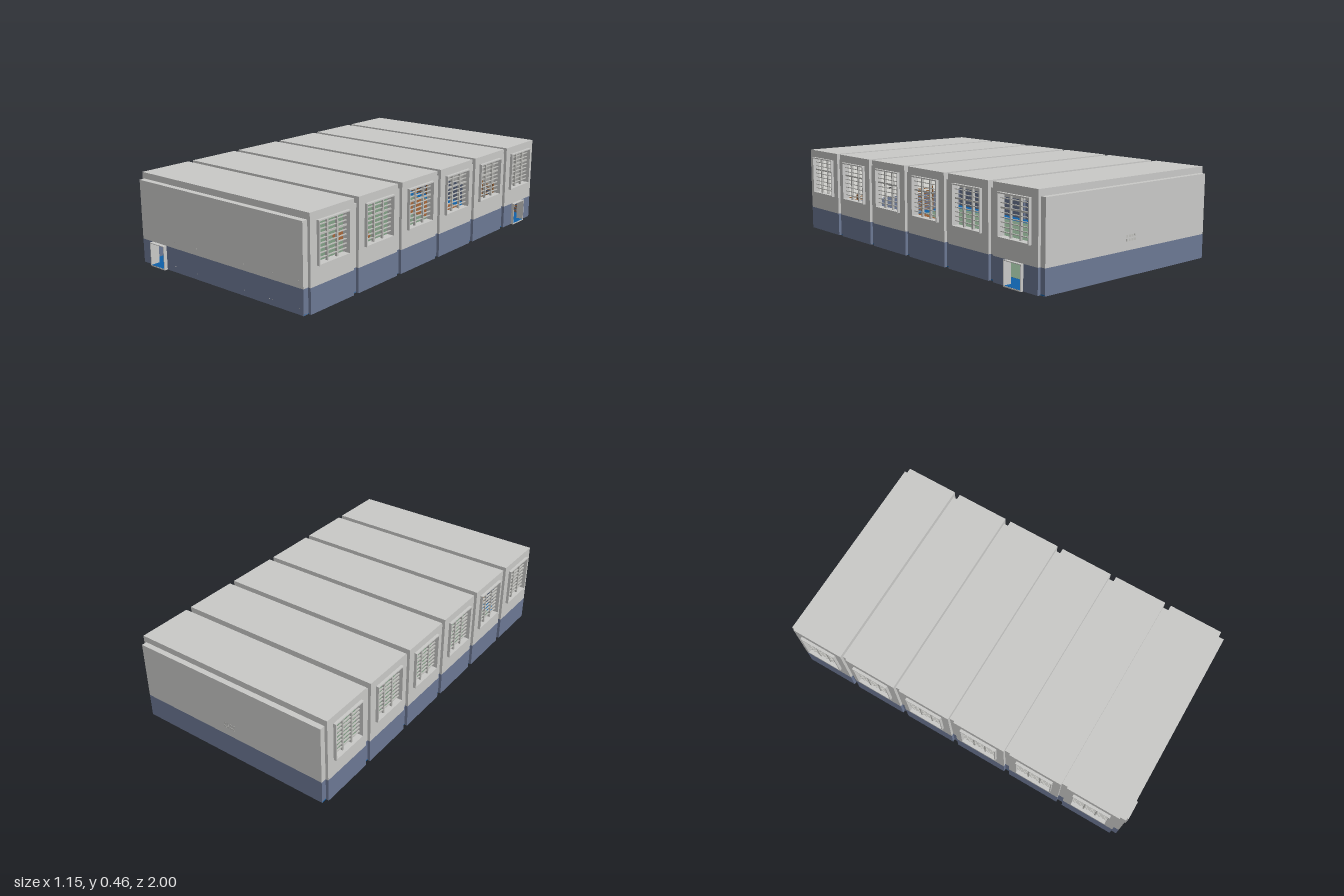
import * as THREE from 'three';

export function createModel() {
  const root = new THREE.Group();
  root.name = 'sportsHall';
  const material = (name, color) => {
    const m = new THREE.MeshStandardMaterial({ color });
    m.name = name;
    return m;
  };
  const wallGrey = material('wallGrey', 0xc9c9c7);
  const bandBlue = material('bandBlue', 0x6c7894);
  const frameGrey = material('frameGrey', 0xbebeba);
  const innerWhite = material('innerWhite', 0xf0f0ec);
  const floorBlue = material('floorBlue', 0x0f60a8);
  const courtGreen = material('courtGreen', 0x76917a);
  const courtBrown = material('courtBrown', 0x965c34);
  const wood = material('wood', 0x8f5f36);
  const hoopOrange = material('hoopOrange', 0xd0662a);
  const steel = material('steel', 0x55565a);

  const add = (name, geometry, mat, parent = root) => {
    const mesh = new THREE.Mesh(geometry, mat);
    mesh.name = name;
    parent.add(mesh);
    return mesh;
  };
  // Box given by its limits on each axis
  const box = (name, mat, x0, x1, y0, y1, z0, z1, parent) => {
    const g = new THREE.BoxGeometry(x1 - x0, y1 - y0, z1 - z0);
    g.translate((x0 + x1) / 2, (y0 + y1) / 2, (z0 + z1) / 2);
    return add(name, g, mat, parent);
  };
  const rectPoints = ([a, b, c, d]) =>
    [[a, c], [b, c], [b, d], [a, d]].map(p => new THREE.Vector2(...p));
  // Upright rectangular panel with an optional rectangular opening
  const panel = (outer, hole, depth) => {
    const shape = new THREE.Shape(rectPoints(outer));
    if (hole) shape.holes.push(new THREE.Path(rectPoints(hole)));
    return new THREE.ExtrudeGeometry(shape, { depth, bevelEnabled: false });
  };
  // Panel facing sideways, with its outer face at side * x
  const sidePanel = (name, mat, side, x, outer, hole, depth, parent) => {
    const g = panel(outer, hole, depth).rotateY(-Math.PI / 2);
    g.translate(side > 0 ? x : -x + depth, 0, 0);
    return add(name, g, mat, parent);
  };

  const X = 0.56, XS = 0.545, TOP = 0.46, LOW = 0.428, BAND = 0.123;
  const FRONT = 0.98, BACK = -1, T = 0.025, HALF = 0.1465;
  const bays = Array.from({ length: 6 }, (_, i) => 0.803 - i * 0.3256);

  // Floor slab and court markings, visible from above and below
  box('floor', floorBlue, -XS, XS, 0.001, 0.006, BACK + 0.002, FRONT - 0.002);
  bays.forEach(c => box('bayFloor', floorBlue, -X + 0.002, X - 0.002, 0.001, 0.006, c - HALF + 0.002, c + HALF - 0.002));
  box('court', courtGreen, -0.45, 0.45, 0.0005, 0.0068, -0.88, 0.87);
  const circle = new THREE.CylinderGeometry(0.105, 0.105, 0.0076, 40);
  add('centreCircle', circle.translate(0, 0.0038, 0), courtBrown);
  for (const s of [1, -1]) {
    const key = new THREE.Shape([[-0.18, -0.87], [0.18, -0.87], [0.11, -0.56], [-0.11, -0.56]]
      .map(p => new THREE.Vector2(...p)));
    const g = new THREE.ExtrudeGeometry(key, { depth: 0.0076, bevelEnabled: false });
    g.rotateX(-Math.PI / 2);
    if (s < 0) g.rotateY(Math.PI);
    add('keyArea', g, courtBrown);
  }

  // Window: projecting surround, thin glazing bars
  const window_ = (side, c) => {
    const group = new THREE.Group();
    group.name = 'window';
    root.add(group);
    sidePanel('windowSurround', wallGrey, side, 0.575,
      [c - 0.104, c + 0.104, 0.214, 0.42], [c - 0.098, c + 0.098, 0.22, 0.414], 0.04, group);
    const bar = (y0, y1, z0, z1, x0, x1) => box('glazingBar', frameGrey,
      Math.min(side * x0, side * x1), Math.max(side * x0, side * x1), y0, y1, z0, z1, group);
    for (const k of [-1, 1]) bar(0.22, 0.414, c + k * 0.033 - 0.004, c + k * 0.033 + 0.004, 0.548, 0.56);
    for (let i = 1; i < 9; i++) {
      const y = 0.22 + i * 0.0216, h = i === 6 ? 0.004 : 0.0018;
      bar(y - h, y + h, c - 0.098, c + 0.098, 0.55, 0.558);
    }
  };

  // Six raised bays, each with a roof and two window walls
  bays.forEach((c, i) => {
    const z0 = c - HALF, z1 = c + HALF;
    box('bayRoof', wallGrey, -X, X, LOW - 0.008, TOP, z0, z1);
    for (const side of [1, -1]) {
      sidePanel('bayWall', wallGrey, side, X, [z0, z1, BAND, LOW - 0.008],
        [c - 0.1, c + 0.1, 0.218, 0.416], T);
      window_(side, c);
      if (side > 0 && i === 5) {
        sidePanel('bayBandBehindDoor', bandBlue, 1, X, [z0, -0.88, 0, BAND], null, T);
        sidePanel('bayBandBeforeDoor', bandBlue, 1, X, [-0.765, z1, 0, BAND], null, T);
      } else sidePanel('bayBand', bandBlue, side, X, [z0, z1, 0, BAND], null, T);
    }
    // Lower recessed strip towards the next bay
    if (i < 5) {
      const n = bays[i + 1] + HALF;
      box('stripRoof', wallGrey, -XS, XS, LOW - 0.02, LOW, n, z0);
      for (const side of [1, -1]) {
        sidePanel('stripWall', wallGrey, side, XS, [n, z0, BAND, LOW - 0.02], null, T);
        sidePanel('stripBand', bandBlue, side, XS, [n, z0, 0, BAND], null, T);
      }
    }
  });

  // End walls with a white lining inside
  const zf = bays[0] + HALF, zb = bays[5] - HALF;
  box('frontWall', wallGrey, -XS, XS, BAND, LOW, zf, FRONT);
  box('frontBandLeft', bandBlue, -0.365, XS, 0, BAND, zf, FRONT);
  box('frontBandRight', bandBlue, -XS, -0.47, 0, BAND, zf, FRONT);
  box('backWall', wallGrey, -XS, XS, BAND, LOW, BACK, zb);
  box('backBand', bandBlue, -XS, XS, 0, BAND, BACK, zb);
  box('frontLining', innerWhite, -0.535, 0.535, BAND, 0.42, zf - 0.003, zf);
  box('backLining', innerWhite, -0.535, 0.535, BAND, 0.42, zb, zb + 0.003);

  // Doorways: projecting jambs and lintel
  const portal = (outer, hole) => panel(outer, hole, 0.05);
  add('frontDoorFrame', portal([-0.47, -0.365, 0, 0.1225], [-0.466, -0.369, 0.006, 0.119])
    .translate(0, 0, 0.949), wallGrey);
  sidePanel('sideDoorFrame', wallGrey, 1, 0.575, [-0.88, -0.765, 0, 0.1225],
    [-0.876, -0.769, 0.006, 0.119], 0.042);
  box('frontThreshold', floorBlue, -0.466, -0.369, 0.001, 0.0065, 0.94, 0.998);
  box('sideThreshold', floorBlue, 0.53, 0.573, 0.001, 0.0065, -0.876, -0.769);

  // Climbing bars, standing against a wall and facing local +z
  const wallBars = (x, z, turn) => {
    const group = new THREE.Group();
    group.name = 'wallBars';
    for (const k of [-0.08, 0, 0.08])
      box('barPost', wood, k - 0.003, k + 0.003, 0.006, 0.165, 0, 0.018, group);
    for (let i = 0; i < 9; i++) {
      const y = 0.02 + i * 0.0165;
      box('rung', wood, -0.08, 0.08, y - 0.0025, y + 0.0025, 0.009, 0.015, group);
    }
    group.position.set(x, 0, z);
    group.rotation.y = turn;
    root.add(group);
  };
  for (const x of [-0.22, 0.26, 0.44]) {
    wallBars(x, zf - 0.003, Math.PI);
    // Fixing bolts through the front wall
    for (const k of [-0.08, 0.08]) for (const y of [0.03, 0.155])
      box('bolt', frameGrey, x + k - 0.002, x + k + 0.002, y - 0.002, y + 0.002, FRONT - 0.002, FRONT + 0.001);
  }
  for (const x of [-0.418, -0.24, 0.24, 0.418]) wallBars(x, zb + 0.003, 0);
  wallBars(-0.535, -0.825, Math.PI / 2);

  // Basketball hoops carried by brackets on the end walls
  for (const s of [1, -1]) {
    const hoop = new THREE.Group();
    hoop.name = 'hoop';
    const wallZ = s > 0 ? zf : -zb;
    box('backboard', innerWhite, -0.056, 0.056, 0.175, 0.242, 0.84, 0.845, hoop);
    for (const x of [-0.026, 0.026]) for (const y of [0.183, 0.2])
      box('bracket', steel, x - 0.003, x + 0.003, y - 0.003, y + 0.003, 0.845, wallZ + 0.005, hoop);
    const ring = new THREE.TorusGeometry(0.016, 0.0015, 6, 20).rotateX(Math.PI / 2);
    add('ring', ring.translate(0, 0.188, 0.822), hoopOrange, hoop);
    if (s < 0) hoop.rotation.y = Math.PI;
    root.add(hoop);
  }
  // Bracket ends showing through the back wall
  for (let i = 0; i < 4; i++) for (const y of [0.172, 0.19]) {
    const x = -0.027 + i * 0.018;
    box('bracketEnd', frameGrey, x - 0.006, x + 0.006, y - 0.006, y + 0.006, BACK - 0.001, BACK + 0.002);
  }
  return root;
}
